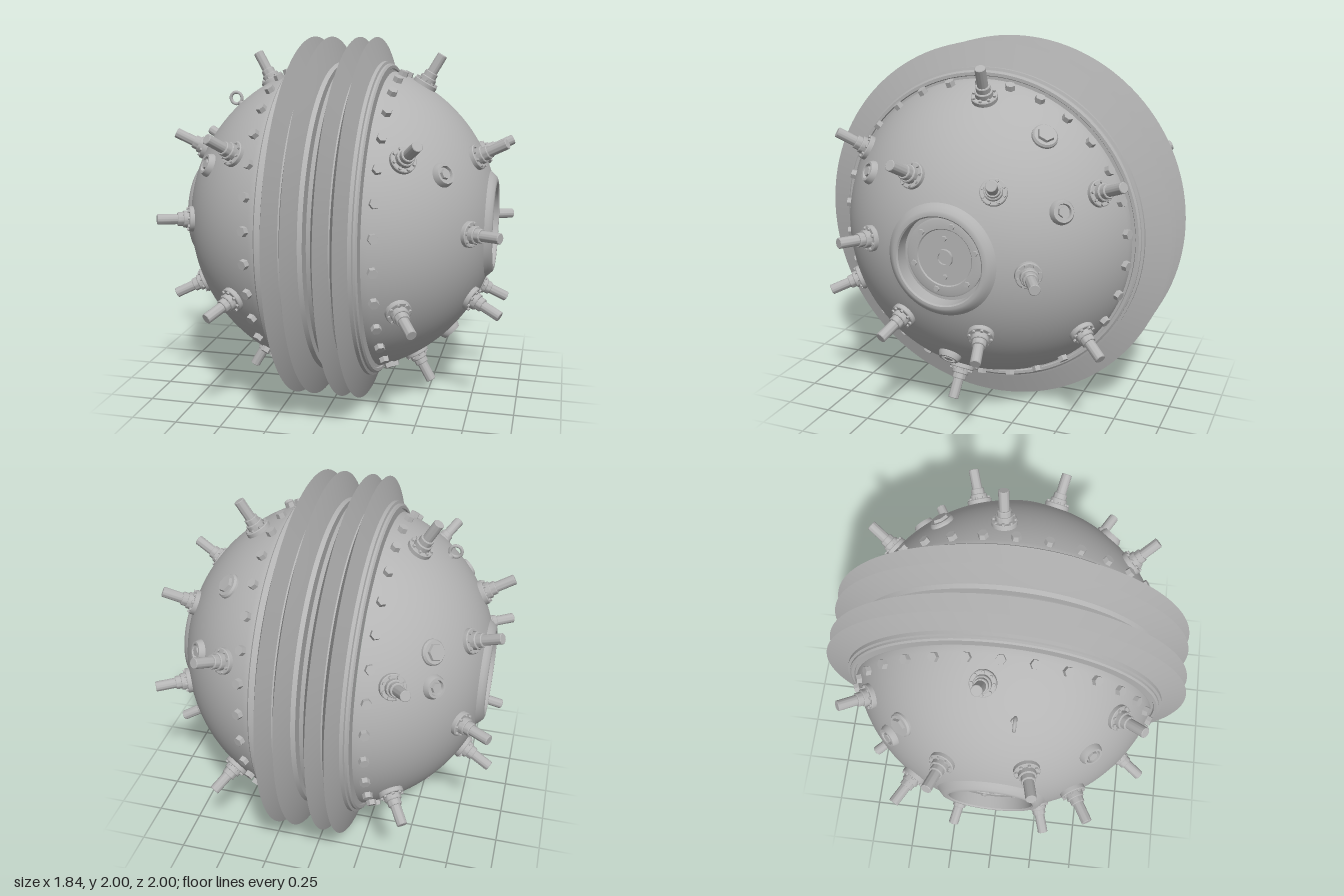
import * as THREE from 'three';
import { mergeGeometries, toCreasedNormals } from 'three/addons/utils/BufferGeometryUtils.js';

const RADIUS = 0.86; // hull radius, hull axis lies along x
const rad = THREE.MathUtils.degToRad;

// Lathe with crisp edges from [radius, height] pairs listed bottom to top
function turned(profile, segments) {
  const pts = profile.map(([r, y]) => new THREE.Vector2(r, y));
  return toCreasedNormals(new THREE.LatheGeometry(pts, segments), 0.5);
}

function hexBolt(radius, height, x = 0, y = 0, z = 0) {
  const g = new THREE.CylinderGeometry(radius * 0.92, radius, height, 6);
  return toCreasedNormals(g.translate(x, y + height / 2, z), 0.5);
}

function boltCircle(count, circleRadius, radius, height, y, start = 0) {
  return Array.from({ length: count }, (_, i) => {
    const a = start + (i / count) * Math.PI * 2;
    return hexBolt(radius, height, circleRadius * Math.cos(a), y, circleRadius * Math.sin(a));
  });
}

// Direction on one half: polar angle from the x axis, azimuth around it
function direction(side, polar, azimuth) {
  const p = rad(polar), a = rad(azimuth);
  return new THREE.Vector3(side * Math.cos(p), Math.sin(p) * Math.sin(a), Math.sin(p) * Math.cos(a));
}

export function createModel() {
  const model = new THREE.Group();
  model.name = 'spikedSphere';
  const body = new THREE.Group();
  body.name = 'body';
  body.position.y = 1;
  model.add(body);
  const grey = new THREE.MeshStandardMaterial({ color: 0xb4b4b4 });
  grey.name = 'grey metal';

  function add(name, geometry, parent = body) {
    const mesh = new THREE.Mesh(geometry, grey);
    mesh.name = name;
    parent.add(mesh);
    return mesh;
  }
  // Stand a part on the hull, its y axis pointing outward
  function mount(name, geometry, dir, distance = 0) {
    const mesh = add(name, geometry);
    mesh.quaternion.setFromUnitVectors(new THREE.Vector3(0, 1, 0), dir);
    mesh.position.copy(dir).multiplyScalar(distance);
    return mesh;
  }

  // Half hull with a raised collar and a recessed end plate
  const hullProfile = [[0.76, 0.268], [0.816, 0.268]];
  const first = Math.acos(0.272 / RADIUS), last = Math.asin(0.29 / RADIUS);
  for (let i = 0; i <= 24; i++) {
    const t = THREE.MathUtils.lerp(first, last, i / 24);
    hullProfile.push([RADIUS * Math.sin(t), RADIUS * Math.cos(t)]);
  }
  hullProfile.push([0.275, 0.828], [0.258, 0.845], [0.245, 0.85], [0.232, 0.85], [0.225, 0.843],
    [0.225, 0.765], [0, 0.765]);
  const hull = turned(hullProfile, 96);

  // End plate: stepped disc, hub ring and fasteners
  const endPlate = mergeGeometries([
    turned([[0.205, 0.76], [0.205, 0.778], [0.195, 0.782], [0.15, 0.782], [0.145, 0.776], [0, 0.776]], 64),
    turned([[0.045, 0.77], [0.045, 0.792], [0.032, 0.792], [0.032, 0.78], [0, 0.78]], 32),
    ...boltCircle(6, 0.172, 0.016, 0.012, 0.78, rad(15)),
    ...boltCircle(2, 0.1, 0.014, 0.014, 0.774),
  ]);

  // Spike: bolted flange, two steps and a rod
  const spike = mergeGeometries([
    turned([[0.068, 0.84], [0.068, 0.878], [0.064, 0.882], [0.046, 0.882], [0.046, 0.908], [0.042, 0.912],
      [0.037, 0.912], [0.037, 0.938], [0.034, 0.942], [0.028, 0.942], [0.028, 1.047], [0.025, 1.05], [0, 1.05]], 28),
    ...boltCircle(8, 0.056, 0.009, 0.012, 0.88),
  ]);

  // Round port with a sunken centre and a plug
  const port = mergeGeometries([
    turned([[0.066, 0.835], [0.062, 0.868], [0.052, 0.888], [0.04, 0.888], [0.036, 0.872], [0, 0.872]], 32),
    hexBolt(0.028, 0.018, 0, 0.87, 0),
  ]);
  // Wider, lower port closed by a hex cap
  const cappedPort = mergeGeometries([
    turned([[0.07, 0.835], [0.066, 0.868], [0.058, 0.878], [0, 0.878]], 32),
    hexBolt(0.046, 0.018, 0, 0.876, 0),
  ]);
  const rimBolt = hexBolt(0.028, 0.035);

  for (const side of [1, -1]) {
    const label = side > 0 ? 'left' : 'right';
    const half = new THREE.Group();
    half.name = label + 'Half';
    half.rotation.z = -side * Math.PI / 2;
    body.add(half);
    add(label + 'Hull', hull, half);
    add(label + 'EndPlate', endPlate, half);

    // Two staggered rings of six spikes
    for (let i = 0; i < 6; i++) {
      mount(label + 'InnerSpike', spike, direction(side, 30, 5.5 + i * 60));
      mount(label + 'OuterSpike', spike, direction(side, 60, 35.5 + i * 60));
    }
    for (let i = 0; i < 3; i++) mount(label + 'Port', port, direction(side, 44.5, 35.5 + i * 120));
    for (let i = 0; i < 30; i++) {
      mount(label + 'RimBolt', rimBolt, direction(side, 68, 6 + i * 12), 0.852);
    }
  }
  mount('leftCappedPort', cappedPort, direction(1, 56, 125.2));
  mount('rightCappedPort', cappedPort, direction(-1, 46.8, 139.8));

  // Lifting eye on one half
  const eyeDir = new THREE.Vector3(-0.6, 0.67, 0.1).normalize();
  const eye = add('liftingEye', new THREE.TorusGeometry(0.032, 0.009, 10, 28));
  eye.position.copy(eyeDir).multiplyScalar(0.898);
  mount('liftingEyeFoot', new THREE.CylinderGeometry(0.016, 0.02, 0.02, 16), eyeDir, 0.862);

  // Finned belt: two mirrored rings of two sharp fins, with a narrow slot between
  const halfBelt = [[0.77, 0], [0.77, 0.01], [0.855, 0.01], [0.862, 0.033], [0.872, 0.036], [1, 0.079],
    [0.868, 0.122], [0.868, 0.13], [1, 0.174], [0.872, 0.217], [0.872, 0.236], [0.858, 0.24], [0.858, 0.252],
    [0.848, 0.26], [0.832, 0.26], [0.828, 0.252], [0.74, 0.252]];
  const belt = [...halfBelt.slice(1).reverse().map(([r, x]) => [r, -x]), ...halfBelt];
  add('finnedBelt', turned(belt, 128)).rotation.z = -Math.PI / 2;

  return model;
}
